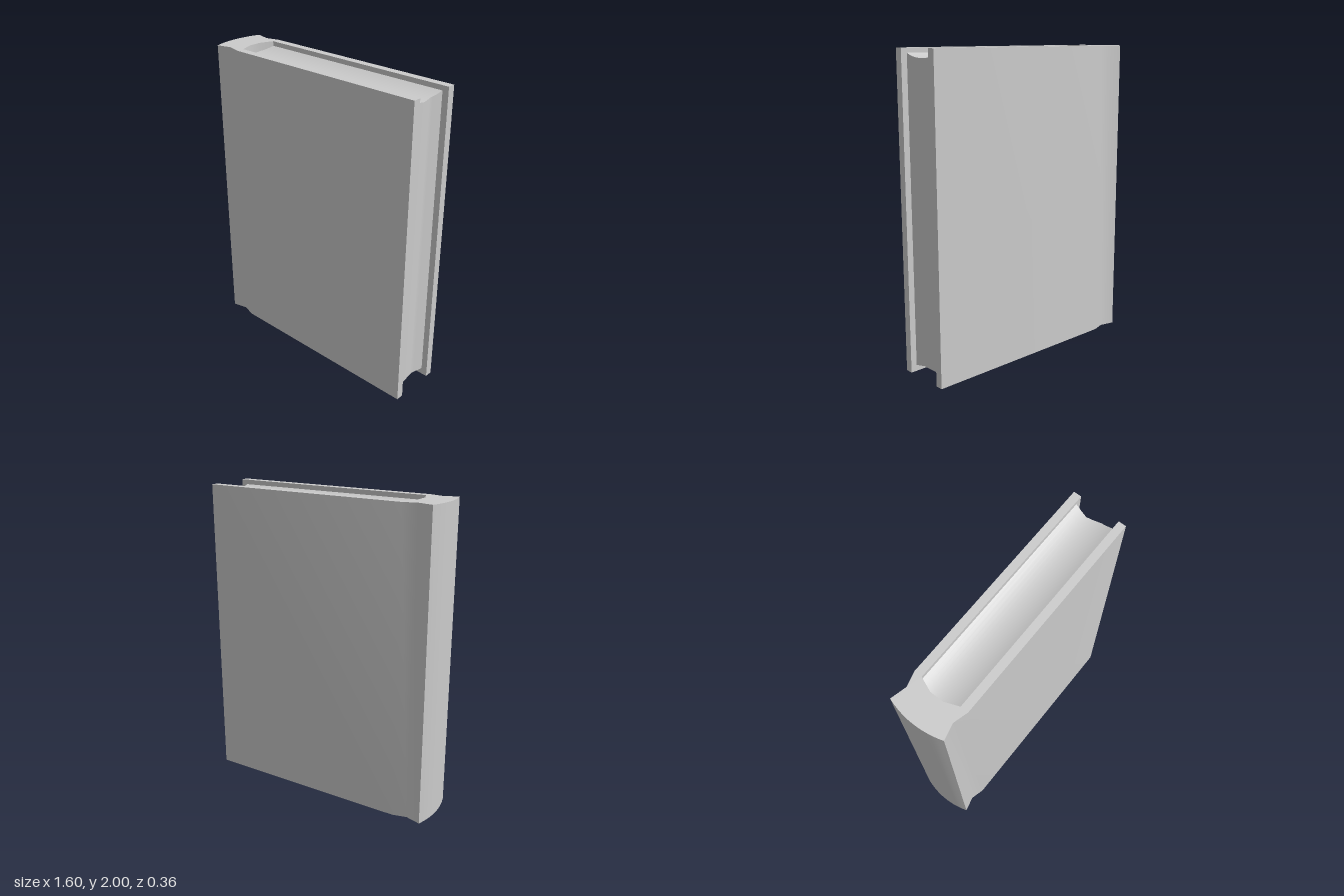
import * as THREE from 'three';
import { toCreasedNormals } from 'three/addons/utils/BufferGeometryUtils.js';

const HALF = 0.18;   // half thickness of the closed book
const INNER = 0.13;  // half thickness of the page block
const HEIGHT = 2;

// Piecewise-linear lookup across the thickness, values from back (-z) to front (+z)
function across(values, z) {
  const t = THREE.MathUtils.clamp((z / INNER + 1) / 2, 0, 1) * (values.length - 1);
  const i = Math.min(Math.floor(t), values.length - 2);
  return THREE.MathUtils.lerp(values[i], values[i + 1], t - i);
}

// Cover: two boards, hinge grooves and a rounded spine in one U-shaped section
function makeCover(material) {
  const s = new THREE.Shape();
  s.moveTo(0.8, -HALF);
  s.lineTo(0.8, -INNER);
  s.lineTo(-0.58, -INNER);
  s.lineTo(-0.615, -0.043);
  s.lineTo(-0.615, 0.043);
  s.lineTo(-0.58, INNER);
  s.lineTo(0.8, INNER);
  s.lineTo(0.8, HALF);
  s.lineTo(-0.58, HALF);
  s.lineTo(-0.67, 0.155);
  s.lineTo(-0.77, HALF);
  s.quadraticCurveTo(-0.83, 0, -0.77, -HALF);
  s.lineTo(-0.67, -0.155);
  s.lineTo(-0.58, -HALF);
  s.closePath();
  const geo = new THREE.ExtrudeGeometry(s, { depth: HEIGHT, bevelEnabled: false, curveSegments: 10 });
  geo.rotateX(-Math.PI / 2);
  const mesh = new THREE.Mesh(toCreasedNormals(geo, 0.6), material);
  mesh.name = 'cover';
  return mesh;
}

// Pages: a block set in from the boards, with hollowed top, bottom and fore edge
function makePages(material) {
  const geo = new THREE.BoxGeometry(2, 2, 2 * INNER, 1, 1, 12);
  const p = geo.attributes.position;
  for (let i = 0; i < p.count; i++) {
    const z = p.getZ(i);
    const x = p.getX(i) > 0
      ? across([0.76, 0.74, 0.76, 0.76], z)
      : across([-0.58, -0.615, -0.615, -0.58], z);
    const y = p.getY(i) > 0
      ? 1.97 - 0.027 * (1 - (z / INNER) ** 2)
      : across([0.045, 0.045, 0.06, 0.04], z);
    p.setXYZ(i, x, y, z);
  }
  const mesh = new THREE.Mesh(toCreasedNormals(geo, 0.6), material);
  mesh.name = 'pages';
  return mesh;
}

export function createModel() {
  const material = new THREE.MeshStandardMaterial({ color: 0xcccccc });
  const book = new THREE.Group();
  book.name = 'book';
  book.add(makeCover(material), makePages(material));
  return book;
}
